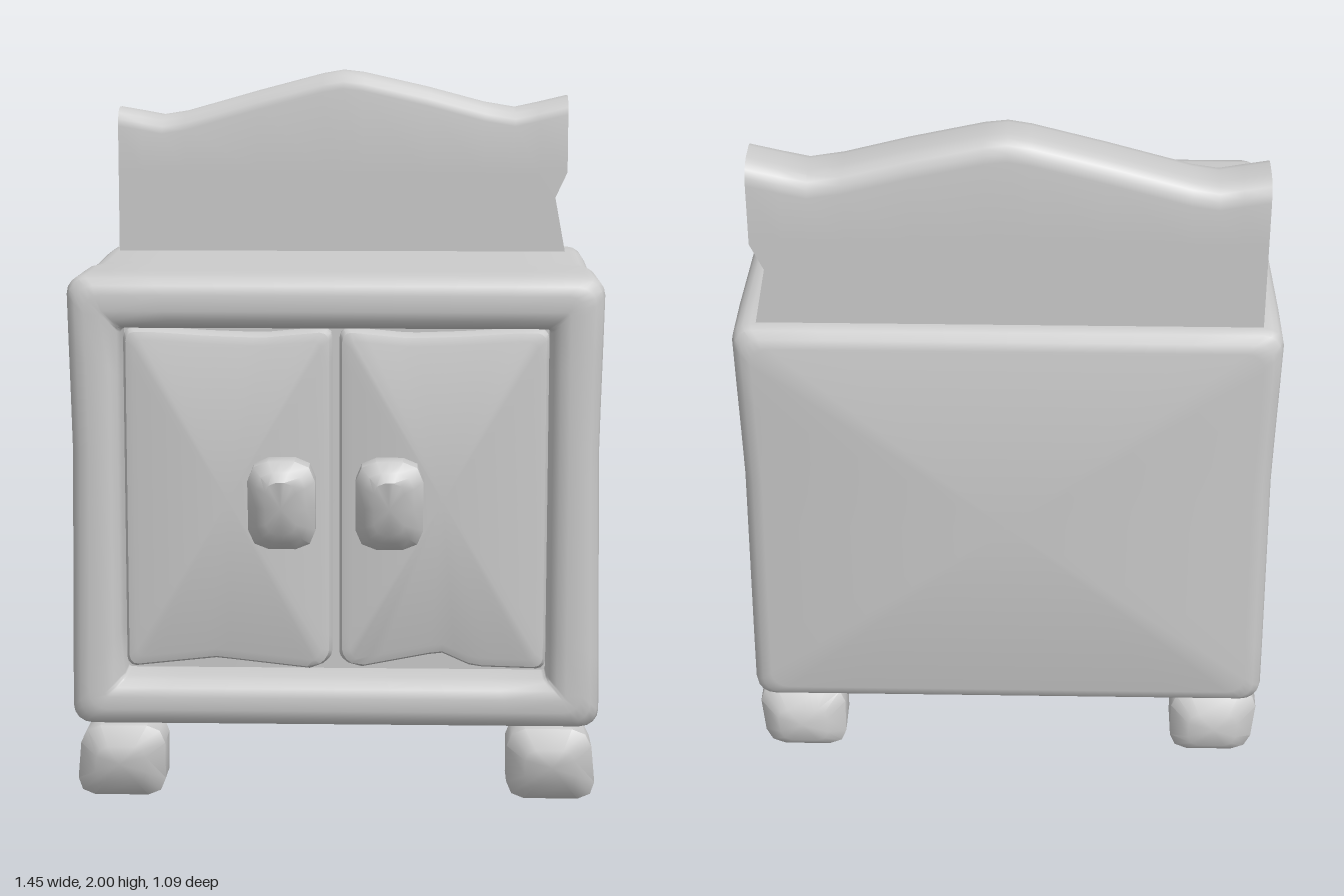
import * as THREE from 'three';
import { toCreasedNormals } from 'three/addons/utils/BufferGeometryUtils.js';

const material = new THREE.MeshStandardMaterial({ color: 0xcccccc, roughness: 0.9 });

// Straight-line interpolation through [position, value] pairs
function ramp(pairs, t) {
  if (t <= pairs[0][0]) return pairs[0][1];
  for (let i = 1; i < pairs.length; i++) {
    const [a, u] = pairs[i - 1], [b, v] = pairs[i];
    if (t <= b) return u + (v - u) * (t - a) / (b - a);
  }
  return pairs[pairs.length - 1][1];
}

// Rounded rectangle at depth z, counterclockwise, with divided sides
function rectRing([x0, x1, y0, y1], inset, r, z, arc = 4, side = 8) {
  const cx = [x1 - inset - r, x0 + inset + r, x0 + inset + r, x1 - inset - r];
  const cy = [y1 - inset - r, y1 - inset - r, y0 + inset + r, y0 + inset + r];
  const pts = [];
  for (let c = 0; c < 4; c++) {
    for (let k = 0; k <= arc; k++) {
      const a = (c + k / arc) * Math.PI / 2;
      pts.push(new THREE.Vector3(cx[c] + r * Math.cos(a), cy[c] + r * Math.sin(a), z));
    }
    const from = pts[pts.length - 1];
    const n = (c + 1) % 4, a = n * Math.PI / 2;
    const to = new THREE.Vector3(cx[n] + r * Math.cos(a), cy[n] + r * Math.sin(a), z);
    for (let k = 1; k < side; k++) pts.push(from.clone().lerp(to, k / side));
  }
  return pts;
}

const pointRing = (ring) => {
  const c = ring.reduce((s, p) => s.add(p), new THREE.Vector3()).divideScalar(ring.length);
  return ring.map(() => c.clone());
};

// Skin over a list of closed rings
function loft(name, rings, warp, crease = 0.7) {
  const n = rings[0].length, pos = [], idx = [];
  for (const ring of rings) for (const p of ring) {
    const q = p.clone();
    if (warp) warp(q);
    pos.push(q.x, q.y, q.z);
  }
  for (let i = 0; i < rings.length - 1; i++) for (let j = 0; j < n; j++) {
    const k = (j + 1) % n;
    const a = i * n + j, b = i * n + k, c = b + n, d = a + n;
    idx.push(a, b, c, a, c, d);
  }
  const geo = new THREE.BufferGeometry();
  geo.setAttribute('position', new THREE.Float32BufferAttribute(pos, 3));
  geo.setIndex(idx);
  const mesh = new THREE.Mesh(toCreasedNormals(geo, crease), material);
  mesh.name = name;
  return mesh;
}

// Closed soft block: steps are [z, inset, cornerRadius], back to front
function block(name, rect, steps, warp, arc, side, crease) {
  const rings = steps.map(([z, inset, r]) => rectRing(rect, inset, r, z, arc, side));
  rings.unshift(pointRing(rings[0]));
  rings.push(pointRing(rings[rings.length - 1]));
  return loft(name, rings, warp, crease);
}

// Cabinet shell with rounded edges and a recess in the front
function cabinet() {
  const outer = [-0.725, 0.725, 0.22, 1.465], hole = [-0.582, 0.582, 0.355, 1.322];
  const rings = [], R = 0.05, back = -0.545, front = 0.475;
  for (let k = 0; k <= 3; k++) {
    const a = k / 3 * Math.PI / 2;
    rings.push(rectRing(outer, R * (1 - Math.sin(a)), R, back + R * (1 - Math.cos(a))));
  }
  for (const z of [-0.35, -0.2, -0.15, 0, 0.1, 0.14, 0.3]) rings.push(rectRing(outer, 0, R, z));
  for (let k = 0; k <= 3; k++) {
    const a = k / 3 * Math.PI / 2;
    rings.push(rectRing(outer, R * (1 - Math.cos(a)), R, front - R * (1 - Math.sin(a))));
  }
  for (let k = 0; k <= 3; k++) {
    const a = k / 3 * Math.PI / 2;
    rings.push(rectRing(hole, -0.05 * (1 - Math.sin(a)), 0.012, front - 0.05 * (1 - Math.cos(a))));
  }
  rings.push(rectRing(hole, 0, 0.012, 0.33));
  rings.unshift(pointRing(rings[0]));
  rings.push(pointRing(rings[rings.length - 1]));
  return loft('cabinet', rings, (p) => {
    // Worn waist on the sides and chipped lower side edges
    if (Math.abs(p.x) > 0.65) {
      const byZ = ramp([[-0.4, 0], [0, 0.012], [0.1, 0.012], [0.14, 0]], p.z);
      const byY = ramp([[0.3, 0], [1, 0.01], [1.4, 0]], p.y);
      p.x -= Math.sign(p.x) * Math.max(byZ, byY);
      if (p.y < 0.3) p.y += ramp([[-0.2, 0], [-0.15, 0.05], [0.35, 0]], p.z);
    }
  });
}

// Door with an uneven lower edge
function door(name, x0, x1, wave) {
  return block(name, [x0, x1, 0.37, 1.315],
    [[0.31, 0, 0.025], [0.375, 0, 0.025], [0.393, 0.008, 0.025], [0.4, 0.03, 0.02]],
    (p) => {
      if (p.y < 0.45) p.y += ramp(wave, p.x);
      else if (p.y > 1.2) p.y -= ramp([[0.04, 0], [0.2, 0.015], [0.35, 0.01], [0.5, 0]], Math.abs(p.x));
    }, 3, 14);
}

// Handle leaning back towards its lower end
function handle(name, x0, x1) {
  return block(name, [x0, x1, 0.72, 0.97],
    [[0.38, 0.02, 0.05], [0.43, 0, 0.055], [0.5, 0, 0.055], [0.53, 0.025, 0.045], [0.545, 0.05, 0.03]],
    (p) => { if (p.z > 0.45) p.z -= Math.max(0, 0.92 - p.y) * 0.22; }, 2, 2);
}

// Lumpy foot; taper narrows (+) or widens (-) the lower end in depth
function foot(name, side, z0, z1, taper) {
  const rect = side > 0 ? [0.475, 0.725, 0, 0.205] : [-0.725, -0.475, 0, 0.205];
  const zc = (z0 + z1) / 2;
  return block(name, rect,
    [[z0, 0.05, 0.03], [z0 + 0.05, 0, 0.05], [z1 - 0.05, 0, 0.05], [z1, 0.05, 0.03]],
    (p) => {
      const down = 1 - p.y / 0.205;
      p.z = zc + (p.z - zc) * (taper > 0 ? 1 - taper * down : 1 + taper * (1 - down));
      p.x += -side * 0.02 * (taper > 0 ? 1 - down : down) * (Math.abs(p.x) > 0.6 ? 1 : 0);
    }, 2, 1, 0.9);
}

// Raised back panel: upright profiles placed along x, with a notch in one end
function backPanel() {
  const tops = [[-0.67, 1.89], [-0.6, 1.878], [-0.54, 1.867], [-0.47, 1.878], [-0.25, 1.94], [-0.06, 1.99],
    [0, 2], [0.06, 1.993], [0.25, 1.95], [0.42, 1.905], [0.51, 1.89], [0.58, 1.905], [0.665, 1.925]];
  const zc = -0.405, h = 0.085, r = 0.055;
  const rings = tops.map(([x, top], i) => {
    const half = [[h, 1.44], [h, 1.625], [h, 1.7]];
    for (let k = 0; k <= 4; k++) {
      const a = k / 4 * Math.PI / 2;
      half.push([h - r + r * Math.cos(a), top - r + r * Math.sin(a)]);
    }
    const all = [...half.map(([d, y]) => [-d, y]), ...half.reverse()];
    const last = i === tops.length - 1;
    return all.map(([d, y]) => new THREE.Vector3(last && y === 1.625 ? 0.63 : x, y, zc + d));
  });
  const close = (ring) => ring.map((p) => new THREE.Vector3(p.x, p.y, zc));
  return loft('backPanel', [close(rings[0]), ...rings, close(rings[rings.length - 1])], null, 0.5);
}

export function createModel() {
  const group = new THREE.Group();
  group.name = 'cabinetWithBackPanel';
  group.add(
    cabinet(),
    backPanel(),
    door('rightDoor', -0.58, -0.01, [[-0.56, 0], [-0.33, 0.025], [-0.06, -0.005], [-0.02, 0.02]]),
    door('leftDoor', 0.01, 0.58, [[0.02, 0.02], [0.06, 0], [0.29, 0.045], [0.38, 0.005], [0.56, 0]]),
    handle('rightHandle', -0.235, -0.052),
    handle('leftHandle', 0.057, 0.24),
  );
  for (const [label, side] of [['left', 1], ['right', -1]]) {
    group.add(foot(label + 'FrontFoot', side, 0.225, 0.455, 0.3));
    group.add(foot(label + 'BackFoot', side, -0.53, -0.31, -0.2));
  }
  return group;
}
